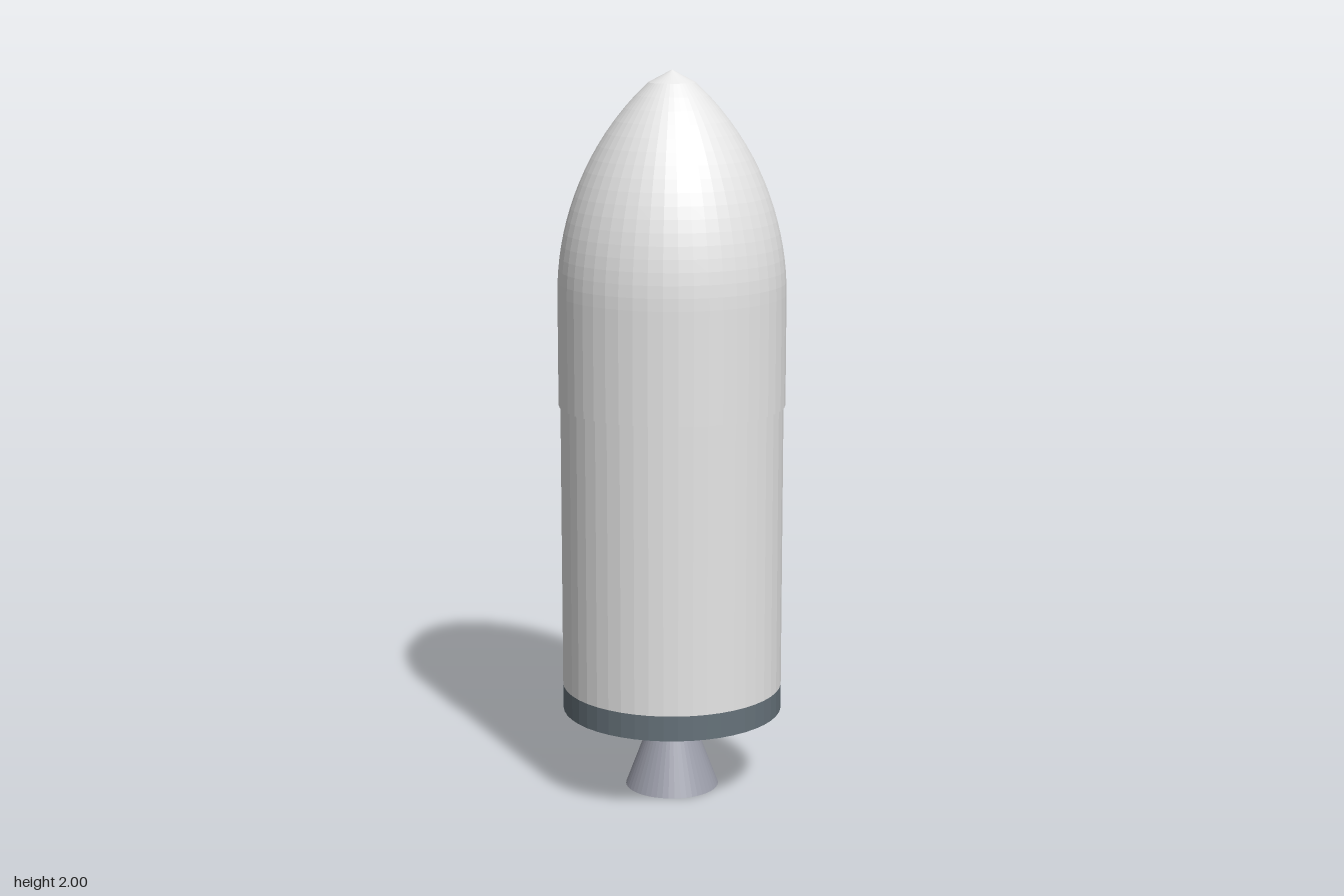
import * as THREE from 'three';

const SEGMENTS = 48;

export function createModel() {
  const group = new THREE.Group();
  group.name = 'rocketStage';

  const makeMaterial = (name, color) => {
    const m = new THREE.MeshStandardMaterial({ color, flatShading: true });
    m.name = name;
    return m;
  };
  const white = makeMaterial('white shell', 0xe6e6e6);
  const slate = makeMaterial('slate base', 0x66727a);
  const metal = makeMaterial('nozzle metal', 0x9c9eaa);

  const add = (name, geometry, material, y = 0) => {
    const mesh = new THREE.Mesh(geometry, material);
    mesh.name = name;
    mesh.position.y = y;
    group.add(mesh);
  };

  // Frustum between two heights
  const frustum = (name, rTop, rBottom, y0, y1, material) =>
    add(name, new THREE.CylinderGeometry(rTop, rBottom, y1 - y0, SEGMENTS), material, (y0 + y1) / 2);

  frustum('engineNozzle', 0.04, 0.13, 0, 0.24, metal);
  frustum('baseRing', 0.305, 0.305, 0.23, 0.3, slate);
  frustum('tankBody', 0.305, 0.305, 0.3, 1.12, white);

  // Fairing: small lip, straight skirt, then an ogive nose with a blunt tip
  const radius = 0.31, shoulder = 1.4, arc = 0.775, rings = 18;
  const profile = [
    new THREE.Vector2(0.3, 1.095),
    new THREE.Vector2(radius, 1.095),
  ];
  for (let i = 0; i < rings; i++) {
    const h = (i / rings) * 0.6;
    profile.push(new THREE.Vector2(radius - arc + Math.sqrt(arc * arc - h * h), shoulder + h));
  }
  profile.push(new THREE.Vector2(0, 2));
  add('noseFairing', new THREE.LatheGeometry(profile, SEGMENTS), white);

  return group;
}
